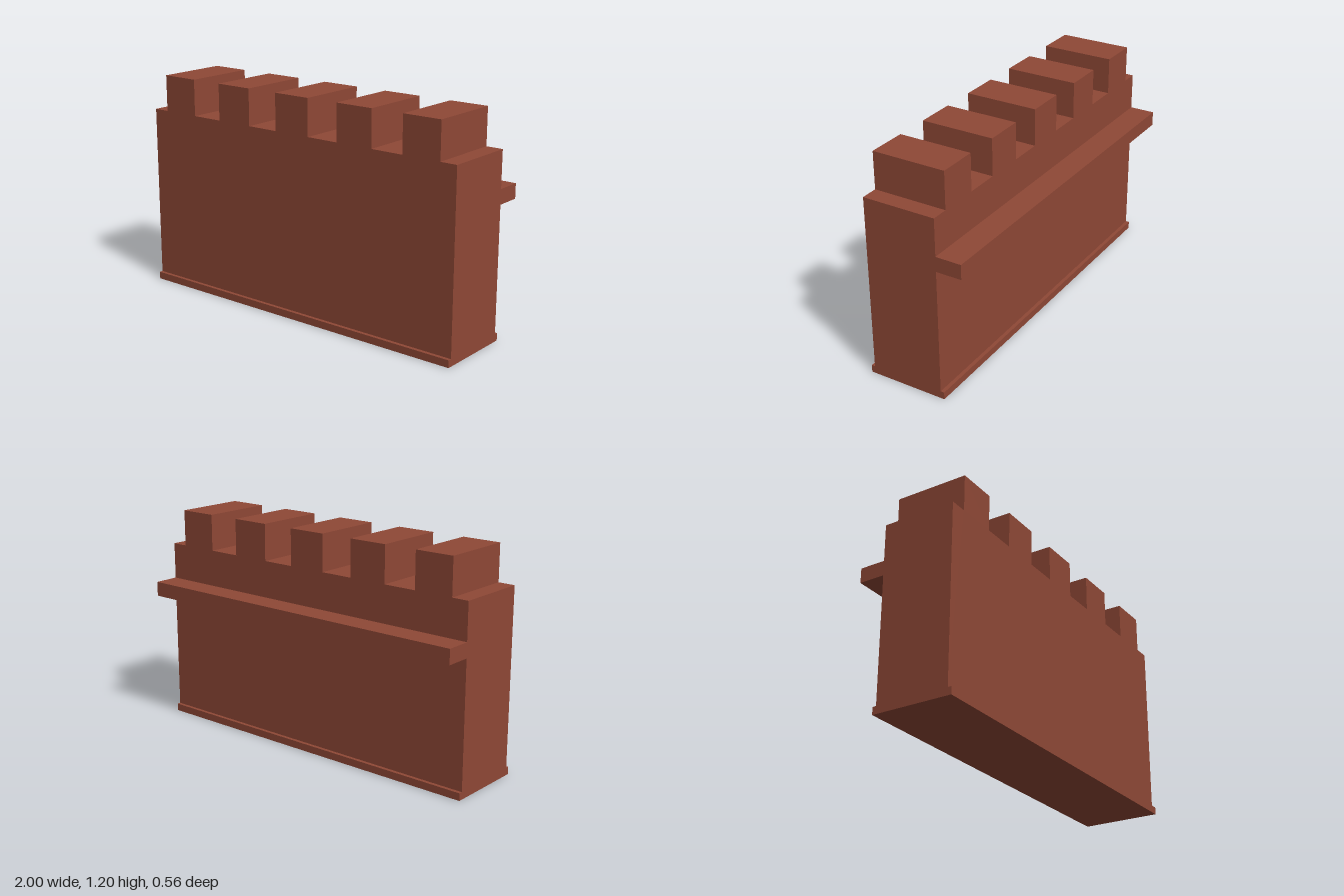
import * as THREE from 'three';

const brick = new THREE.MeshStandardMaterial({ color: 0x8f4836 });
brick.name = 'brick red';

// Box spanning the full length of the wall, given its y and z limits
function lengthwiseBox(name, y0, y1, z0, z1) {
  const mesh = new THREE.Mesh(new THREE.BoxGeometry(2, y1 - y0, z1 - z0), brick);
  mesh.position.set(0, (y0 + y1) / 2, (z0 + z1) / 2);
  mesh.name = name;
  return mesh;
}

export function createModel() {
  const group = new THREE.Group();
  group.name = 'battlementWall';

  // Wall with five merlons, as one extruded outline
  const outline = new THREE.Shape();
  outline.moveTo(-1, 0.04);
  outline.lineTo(1, 0.04);
  outline.lineTo(1, 1);
  for (let i = 2; i >= -2; i--) {
    const x = i * 0.4, half = 0.108;
    outline.lineTo(x + half, 1);
    outline.lineTo(x + half, 1.2);
    outline.lineTo(x - half, 1.2);
    outline.lineTo(x - half, 1);
  }
  outline.lineTo(-1, 1);
  outline.closePath();
  const wall = new THREE.Mesh(
    new THREE.ExtrudeGeometry(outline, { depth: 0.4, bevelEnabled: false }), brick);
  wall.position.z = -0.14;
  wall.name = 'crenellatedWall';
  group.add(wall);

  // Footing and the walkway behind the parapet
  group.add(lengthwiseBox('footing', 0, 0.04, -0.16, 0.28));
  group.add(lengthwiseBox('walkway', 0.72, 0.8, -0.28, -0.14));

  return group;
}
